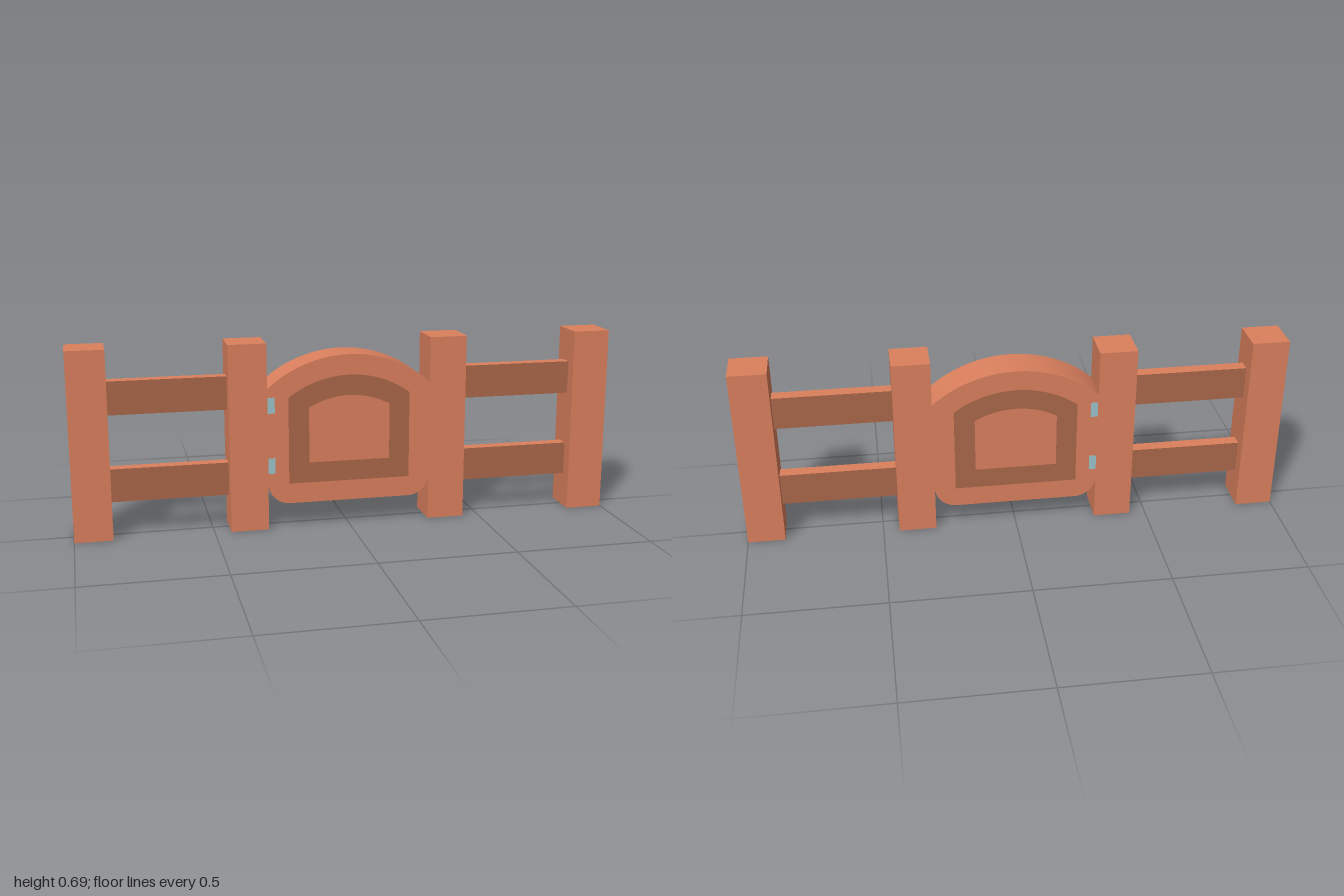
import * as THREE from 'three';
import { toCreasedNormals } from 'three/addons/utils/BufferGeometryUtils.js';

const wood = new THREE.MeshStandardMaterial({ color: 0xdb805d });
const darkWood = new THREE.MeshStandardMaterial({ color: 0xab674a });
const metal = new THREE.MeshStandardMaterial({ color: 0x9cc4cc });

const DEPTH = 0.14;
const PROUD = 0.002;

function box(name, w, h, d, x, y, material) {
  const mesh = new THREE.Mesh(new THREE.BoxGeometry(w, h, d), material);
  mesh.name = name;
  mesh.position.set(x, y, 0);
  return mesh;
}

// Panel outline: flat bottom with rounded corners, straight sides, arched top
function archOutline(path, half, bottom, shoulder, top, corner = 0) {
  const rise = top - shoulder;
  const radius = (half * half + rise * rise) / (2 * rise);
  const start = Math.asin((shoulder - (top - radius)) / radius);
  path.moveTo(-half + corner, bottom);
  path.lineTo(half - corner, bottom);
  if (corner) path.absarc(half - corner, bottom + corner, corner, -Math.PI / 2, 0);
  path.lineTo(half, shoulder);
  path.absarc(0, top - radius, radius, start, Math.PI - start);
  path.lineTo(-half, bottom + corner);
  if (corner) path.absarc(-half + corner, bottom + corner, corner, Math.PI, Math.PI * 1.5);
  return path;
}

function extrude(name, shape, depth, material) {
  const geometry = new THREE.ExtrudeGeometry(shape, { depth, bevelEnabled: false, curveSegments: 32 });
  geometry.translate(0, 0, -depth / 2);
  const mesh = new THREE.Mesh(toCreasedNormals(geometry, 0.6), material);
  mesh.name = name;
  return mesh;
}

export function createModel() {
  const model = new THREE.Group();
  model.name = 'fenceWithGate';

  // Posts and rails, mirrored about the gate; rails have darker front and back faces
  const railMaterials = [wood, wood, wood, wood, darkWood, darkWood];
  for (const side of [-1, 1]) {
    const label = side > 0 ? 'left' : 'right';
    model.add(box(label + 'OuterPost', 0.137, 0.69, DEPTH, side * 0.9315, 0.345, wood));
    model.add(box(label + 'GatePost', 0.138, 0.69, DEPTH, side * 0.371, 0.345, wood));
    model.add(box(label + 'LowerRail', 0.425, 0.122, 0.046, side * 0.6515, 0.189, railMaterials));
    model.add(box(label + 'UpperRail', 0.425, 0.122, 0.046, side * 0.6515, 0.508, railMaterials));
  }

  // Arched gate
  const gate = new THREE.Group();
  gate.name = 'gate';
  const gateShape = archOutline(new THREE.Shape(), 0.302, 0.095, 0.525, 0.64, 0.08);
  gate.add(extrude('gatePanel', gateShape, DEPTH, wood));

  // Dark inlaid frame showing on both faces
  const frameShape = archOutline(new THREE.Shape(), 0.225, 0.17, 0.49, 0.565);
  frameShape.holes.push(archOutline(new THREE.Path(), 0.15, 0.245, 0.45, 0.49));
  gate.add(extrude('gateInlay', frameShape, DEPTH + PROUD, darkWood));

  // Hinges, showing on both faces
  gate.add(box('lowerHinge', 0.026, 0.058, DEPTH + PROUD, -0.288, 0.24, metal));
  gate.add(box('upperHinge', 0.026, 0.058, DEPTH + PROUD, -0.288, 0.464, metal));
  model.add(gate);

  return model;
}
